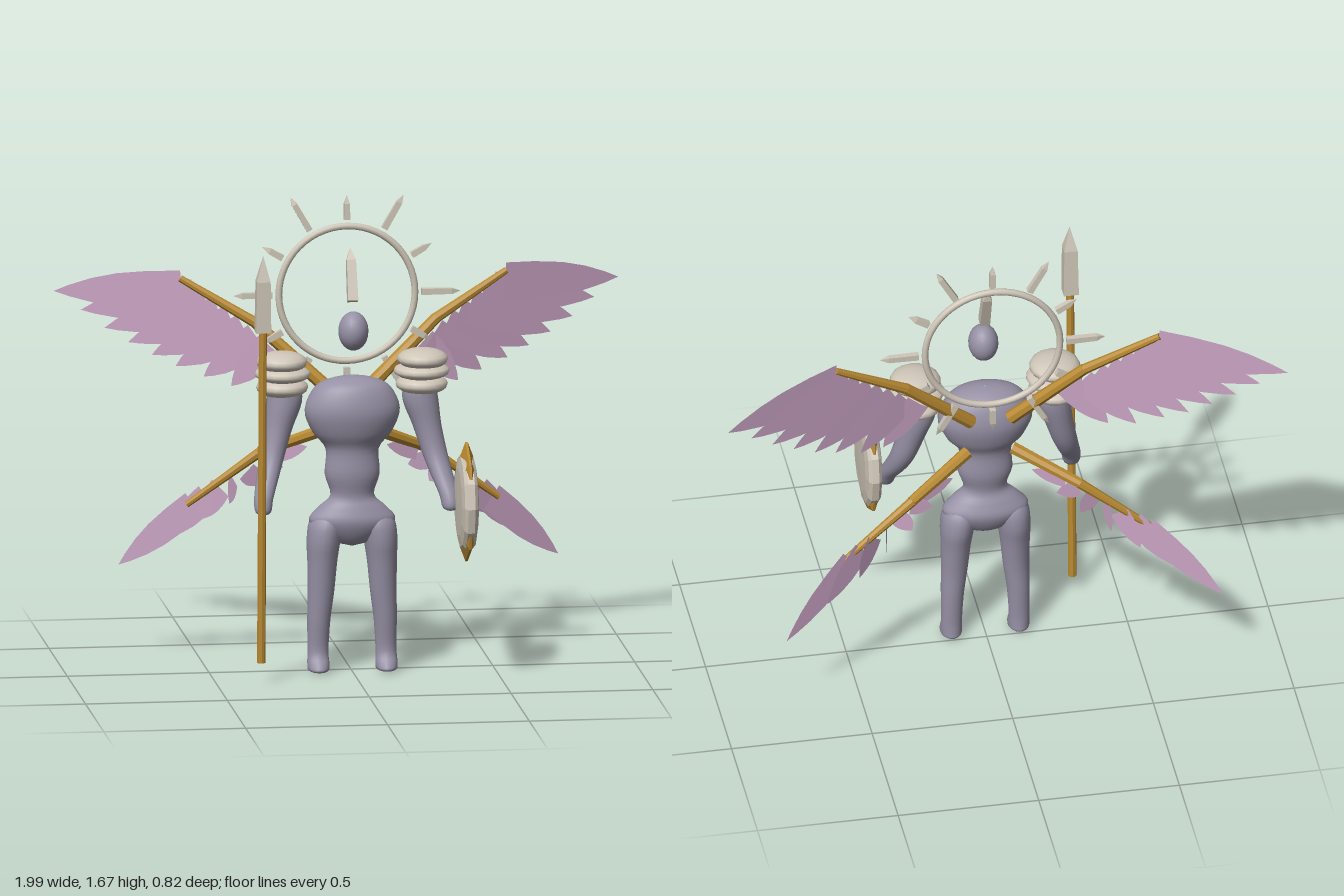
import * as THREE from 'three';

const mat = (name, color, open) => {
  const m = new THREE.MeshStandardMaterial({ color });
  m.name = name;
  if (open) m.side = THREE.DoubleSide;
  return m;
};
const V = (x, y, z) => new THREE.Vector3(x, y, z);
const UP = V(0, 1, 0);

export function createModel() {
  const model = new THREE.Group();
  const skin = mat('slate skin', 0x9691a5);
  const bone = mat('ivory', 0xcfc6b8);
  const gold = mat('gold', 0xb88a32);
  const pink = mat('pink feather', 0xcaa4c4, true);

  const add = (name, geo, material, parent = model) => {
    const mesh = new THREE.Mesh(geo, material);
    mesh.name = name;
    parent.add(mesh);
    return mesh;
  };
  const flat = (geo) => {
    const g = geo.toNonIndexed();
    g.computeVertexNormals();
    return g;
  };
  // place a y-aligned geometry with its base at a, pointing to b
  const aim = (mesh, a, b) => {
    mesh.position.copy(a);
    mesh.quaternion.setFromUnitVectors(UP, b.clone().sub(a).normalize());
    return mesh;
  };

  // smooth body from horizontal ellipses, bottom to top: [x, y, z, rx, rz]
  const loft = (rings, sides = 24, steps = 4) => {
    const centres = new THREE.CatmullRomCurve3(rings.map((r) => V(r[0], r[1], r[2])), false, 'catmullrom', 0.5);
    const radii = new THREE.CatmullRomCurve3(rings.map((r) => V(r[3], r[4], 0)), false, 'catmullrom', 0.5);
    const n = (rings.length - 1) * steps;
    const pos = [], idx = [];
    for (let i = 0; i <= n; i++) {
      const c = centres.getPoint(i / n), r = radii.getPoint(i / n);
      for (let j = 0; j < sides; j++) {
        const a = (j / sides) * Math.PI * 2;
        pos.push(c.x + Math.cos(a) * Math.max(r.x, 0.001), c.y, c.z + Math.sin(a) * Math.max(r.y, 0.001));
        if (i === n) continue;
        const p = i * sides + j, q = i * sides + ((j + 1) % sides);
        idx.push(p, p + sides, q, q, p + sides, q + sides);
      }
    }
    const g = new THREE.BufferGeometry();
    g.setAttribute('position', new THREE.Float32BufferAttribute(pos, 3));
    g.setIndex(idx);
    g.computeVertexNormals();
    return g;
  };

  // four-sided prism with a pyramid point, standing on its base
  const spike = (half, length, tip) => {
    const r = half * Math.SQRT2;
    const pts = [[0, 0], [r, 0], [r * 0.9, length - tip], [0.0005, length]];
    return flat(new THREE.LatheGeometry(pts.map((p) => new THREE.Vector2(...p)), 4).rotateY(Math.PI / 4));
  };

  const rod = (name, a, b, ra, rb, parent) => {
    const len = a.distanceTo(b);
    const geo = flat(new THREE.CylinderGeometry(rb, ra, len, 8).translate(0, len / 2, 0));
    return aim(add(name, geo, gold, parent), a, b);
  };

  // torso and floating head
  add('torso', loft([
    [0, 0.45, 0.03, 0, 0], [0, 0.475, 0.03, 0.08, 0.05], [0, 0.54, 0.03, 0.152, 0.08],
    [0, 0.59, 0.032, 0.12, 0.068], [0, 0.635, 0.035, 0.077, 0.052], [0, 0.71, 0.035, 0.097, 0.065],
    [0, 0.8, 0.035, 0.094, 0.063], [0, 0.86, 0.035, 0.14, 0.09], [0, 0.94, 0.035, 0.168, 0.106],
    [0, 1.02, 0.035, 0.132, 0.085], [0, 1.05, 0.035, 0.07, 0.045], [0, 1.06, 0.035, 0, 0],
  ], 28), skin);
  const head = add('head', new THREE.SphereGeometry(1, 20, 14), skin);
  head.scale.set(0.053, 0.069, 0.06);
  head.position.set(0, 1.223, 0.068);
  aim(add('crest', spike(0.018, 0.19, 0.045), bone), V(0, 1.325, 0.05), V(0, 1.5, -0.015));

  // halo ring with rays of alternating length
  const halo = new THREE.Group();
  halo.name = 'halo';
  halo.position.set(0, 1.322, -0.11);
  model.add(halo);
  add('haloRing', new THREE.TorusGeometry(0.24, 0.012, 10, 56), bone, halo);
  const rayEnds = [0.4, 0.345, 0.4, 0.35, 0.4, 0.345];
  for (let i = 0; i < 12; i++) {
    const a = (i * Math.PI) / 6, d = V(Math.cos(a), Math.sin(a), 0);
    const len = rayEnds[i % 6] - 0.263;
    aim(add('haloRay', spike(0.011, len, 0.03), bone, halo), d.clone().multiplyScalar(0.263), d);
  }

  // one leaf-shaped feather between root and tip
  const feather = (root, tip, width, parent) => {
    const axis = tip.clone().sub(root);
    const dir = axis.clone().normalize();
    const side = UP.clone().addScaledVector(dir, -dir.y).normalize();
    const profile = [[0, 1], [0.25, 1.02], [0.5, 0.92], [0.7, 0.68], [0.88, 0.32], [1, 0.002]];
    const pos = [], idx = [];
    profile.forEach(([s, w], i) => {
      const c = root.clone().addScaledVector(axis, s);
      for (const k of [1, -1]) pos.push(...c.clone().addScaledVector(side, k * w * width).toArray());
      if (i) idx.push(2 * i - 2, 2 * i - 1, 2 * i, 2 * i, 2 * i - 1, 2 * i + 1);
    });
    const g = new THREE.BufferGeometry();
    g.setAttribute('position', new THREE.Float32BufferAttribute(pos, 3));
    g.setIndex(idx);
    g.computeVertexNormals();
    add('feather', g, pink, parent);
  };

  const upperTips = [
    [0.995, 1.297, -0.408], [0.905, 1.235, -0.37], [0.825, 1.175, -0.338], [0.745, 1.127, -0.312],
    [0.665, 1.085, -0.288], [0.585, 1.05, -0.255], [0.49, 1.015, -0.225], [0.4, 0.99, -0.17],
  ];
  const lowerTips = [
    [0.775, 0.328, -0.345], [0.62, 0.43, -0.292], [0.5, 0.5, -0.255], [0.4, 0.56, -0.225],
    [0.3, 0.63, -0.187], [0.22, 0.7, -0.15], [0.14, 0.78, -0.107],
  ];

  for (const s of [1, -1]) {
    const sideName = s > 0 ? 'left' : 'right';
    const P = (x, y, z) => V(s * x, y, z);
    const group = (name) => {
      const g = new THREE.Group();
      g.name = sideName + name;
      model.add(g);
      return g;
    };

    // leg with foot
    add(sideName + 'Leg', loft([
      [s * 0.12, 0.004, 0.045, 0, 0], [s * 0.12, 0.012, 0.045, 0.034, 0.05], [s * 0.12, 0.035, 0.04, 0.039, 0.048],
      [s * 0.12, 0.08, 0.028, 0.037, 0.035], [s * 0.117, 0.19, 0.03, 0.041, 0.043],
      [s * 0.11, 0.29, 0.033, 0.047, 0.05], [s * 0.105, 0.4, 0.032, 0.053, 0.064],
      [s * 0.1, 0.48, 0.03, 0.06, 0.077], [s * 0.09, 0.55, 0.03, 0.055, 0.065], [s * 0.08, 0.6, 0.03, 0, 0],
    ], 18), skin);

    // arm
    add(sideName + 'Arm', loft([
      [s * 0.33, 0.592, 0.165, 0, 0], [s * 0.33, 0.605, 0.165, 0.027, 0.03], [s * 0.326, 0.65, 0.145, 0.034, 0.04],
      [s * 0.305, 0.72, 0.095, 0.04, 0.048], [s * 0.285, 0.79, 0.06, 0.045, 0.05],
      [s * 0.262, 0.88, 0.042, 0.051, 0.054], [s * 0.24, 0.97, 0.035, 0.063, 0.06],
      [s * 0.238, 1.03, 0.035, 0.05, 0.05], [s * 0.238, 1.06, 0.035, 0, 0],
    ], 18), skin);

    // stacked shoulder plates
    const pauldron = group('Pauldron');
    [[0.248, 1.113, 0.036, 0.09, 0.037], [0.245, 1.07, 0.032, 0.099, 0.032], [0.246, 1.022, 0.028, 0.092, 0.037]].forEach(([x, y, z, r, h]) => {
      const plate = add('shoulderPlate', new THREE.SphereGeometry(1, 16, 10), bone, pauldron);
      plate.scale.set(r, h, r + 0.002);
      plate.position.copy(P(x, y, z));
    });

    // upper wing
    const upper = group('UpperWing');
    rod('wingArm', P(0.07, 0.99, -0.075), P(0.32, 1.22, -0.15), 0.025, 0.02, upper);
    rod('wingForearm', P(0.315, 1.216, -0.149), P(0.575, 1.37, -0.212), 0.019, 0.012, upper);
    upperTips.forEach((t, i) => {
      const k = i / 7;
      feather(P(0.57 - 0.3 * k, 1.333 - 0.195 * k, -0.212 + 0.08 * k), P(...t), 0.064 - 0.012 * k, upper);
    });

    // lower wing
    const lower = group('LowerWing');
    rod('wingArm', P(0.08, 0.85, -0.06), P(0.3, 0.75, -0.18), 0.023, 0.019, lower);
    rod('wingForearm', P(0.295, 0.752, -0.178), P(0.55, 0.56, -0.225), 0.018, 0.011, lower);
    lowerTips.forEach((t, i) => {
      const k = i / 6;
      feather(P(0.525 - 0.27 * k, 0.56 + 0.185 * k, -0.222 + 0.075 * k), P(...t), 0.05 - 0.02 * k, lower);
    });
  }

  // spear in the right hand
  const spear = new THREE.Group();
  spear.name = 'spear';
  model.add(spear);
  const neck = V(-0.343, 1.265, 0.253);
  rod('spearShaft', V(-0.343, 0.077, 0.209), neck, 0.015, 0.014, spear);
  aim(add('spearHead', spike(0.0265, 0.272, 0.09), bone, spear), neck, V(-0.343, 1.535, 0.262));

  // shield on the left arm: long octagonal gold body with rounder ivory faces
  const shield = new THREE.Group();
  shield.name = 'shield';
  shield.position.set(0.375, 0.642, 0.253);
  model.add(shield);
  const disc = (half, sides, ry, rz) => {
    const pts = [...half.map(([r, h]) => [r, -h]), ...half.slice().reverse()];
    const g = new THREE.LatheGeometry(pts.map((p) => new THREE.Vector2(...p)), sides);
    return flat(g.scale(ry, 1, rz).rotateZ(-Math.PI / 2));
  };
  add('shieldBody', disc([[0, 0.028], [0.75, 0.024], [1, 0.004]], 8, 0.213, 0.155), gold, shield);
  add('shieldFace', disc([[0, 0.033], [0.7, 0.03], [0.92, 0.023], [1, 0.012]], 12, 0.176, 0.157), bone, shield);

  return model;
}
